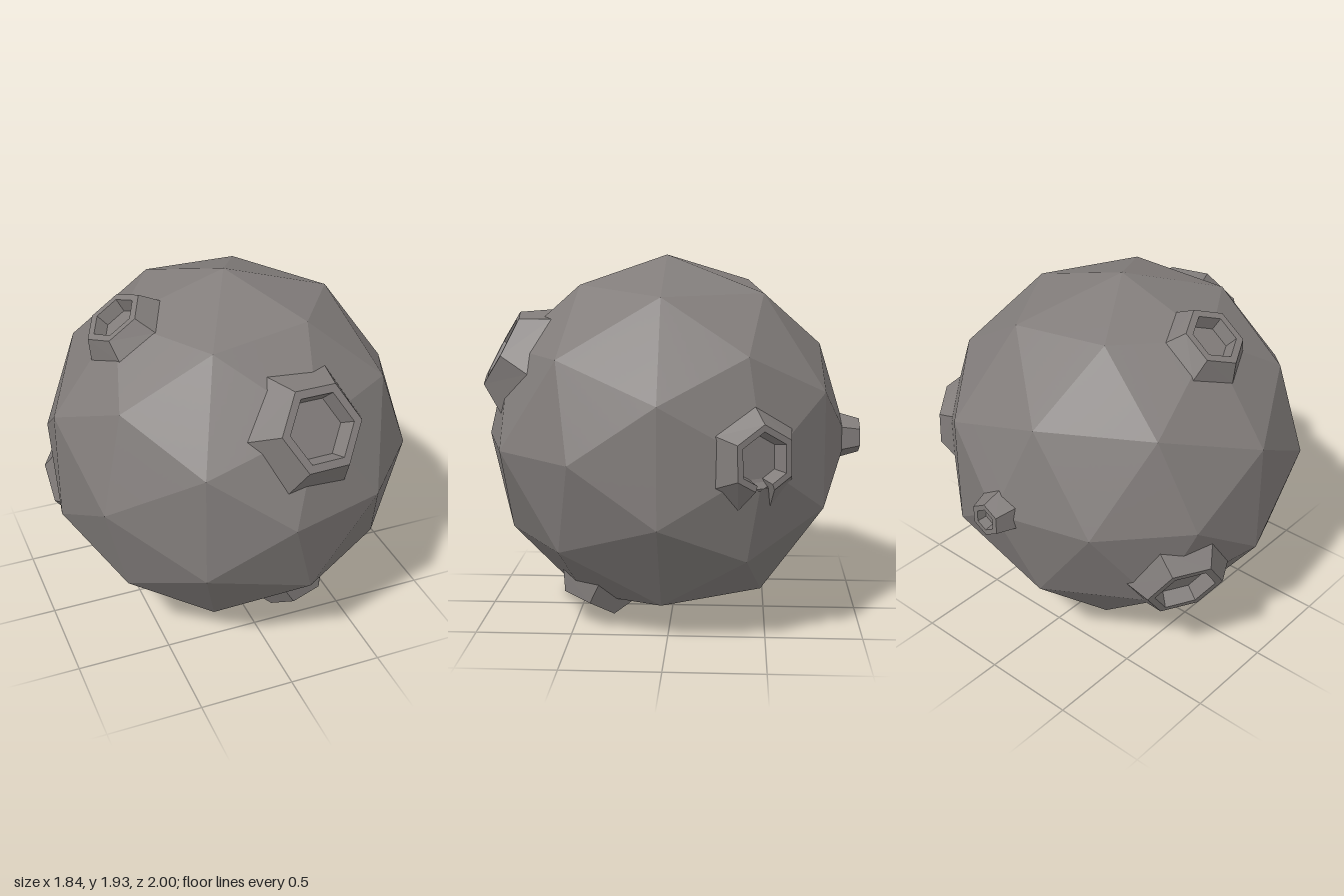
import * as THREE from 'three';

const RADIUS = 0.965;
const CENTRE = new THREE.Vector3(0, 0.97, 0.03);
const V = (x, y, z) => new THREE.Vector3(x, y, z);

// pos: rim centre from the body's centre, toward: direction of one rim corner,
// hole / rim / base: hexagon radii, depth: rim to floor, breach: gap opposite that corner
const CRATERS = [
  { name: 'frontCrater', pos: V(0.16, 0.485, 0.86), toward: V(1, 0, 0), hole: 0.18, rim: 0.225, base: 0.325, depth: 0.08 },
  { name: 'lowerCrater', pos: V(0.28, -0.86, 0.4), toward: V(1, 0, 0), hole: 0.12, rim: 0.165, base: 0.23, depth: 0.07 },
  { name: 'breachedCrater', pos: V(0.83, 0.03, -0.51), toward: V(0, 1, 0), hole: 0.14, rim: 0.175, base: 0.25, depth: 0.08, breach: true },
  { name: 'upperCrater', pos: V(-0.585, 0.805, 0.01), toward: V(1, 0, 0), hole: 0.125, rim: 0.165, base: 0.225, depth: 0.07 },
  { name: 'backCrater', pos: V(-0.01, 0.005, -1.03), toward: V(0, 1, 0), hole: 0.06, rim: 0.09, base: 0.12, depth: 0.05 },
  { name: 'sideCrater', pos: V(-0.8, -0.385, -0.43), toward: V(-0.42, 0, 0.78), hole: 0.165, rim: 0.205, base: 0.275, depth: 0.08 },
];

function meshFromPoints(points, material, name) {
  const geometry = new THREE.BufferGeometry().setFromPoints(points);
  geometry.computeVertexNormals();
  const mesh = new THREE.Mesh(geometry, material);
  mesh.name = name;
  return mesh;
}

// The 80 flat faces of the body, with a five-sided pole facing the front
function bodyFaces() {
  const geometry = new THREE.IcosahedronGeometry(RADIUS, 1);
  geometry.rotateX(Math.atan(2 / (1 + Math.sqrt(5))));
  geometry.rotateZ(Math.PI / 2);
  const p = geometry.attributes.position;
  const faces = [];
  for (let i = 0; i < p.count; i += 3) {
    const [a, b, c] = [0, 1, 2].map((k) => V().fromBufferAttribute(p, i + k));
    faces.push({ a, b, c, plane: new THREE.Plane().setFromCoplanarPoints(a, b, c) });
  }
  return faces;
}

// Each face is divided finely so the openings under the craters can be left out
function buildBody(faces, material) {
  const N = 20;
  const points = [];
  const covered = (p) => CRATERS.some(({ pos, hole }) => {
    const n = pos.clone().normalize();
    const h = p.dot(n);
    return h > 0 && p.clone().addScaledVector(n, -h).length() < hole + 0.012;
  });
  for (const { a, b, c } of faces) {
    const ab = b.clone().sub(a), ac = c.clone().sub(a);
    const at = (i, j) => a.clone().addScaledVector(ab, i / N).addScaledVector(ac, j / N);
    const add = (...tri) => {
      const mid = V().add(tri[0]).add(tri[1]).add(tri[2]).divideScalar(3);
      if (!covered(mid)) points.push(...tri);
    };
    for (let i = 0; i < N; i++) {
      for (let j = 0; j < N - i; j++) {
        add(at(i, j), at(i + 1, j), at(i, j + 1));
        if (i + j < N - 1) add(at(i + 1, j), at(i + 1, j + 1), at(i, j + 1));
      }
    }
  }
  return meshFromPoints(points, material, 'body');
}

function buildCrater(spec, faces, material) {
  const { name, pos, toward, hole, rim, base, depth, breach } = spec;
  const n = pos.clone().normalize();
  const u = toward.clone().projectOnPlane(n).normalize();
  const v = n.clone().cross(u);
  const top = pos.length(), floor = top - depth;

  // Height of the body's surface along the crater's axis
  const surface = (p) => Math.min(...faces.map(({ plane }) => {
    const d = plane.normal.dot(n);
    return d > 0.2 ? -plane.distanceToPoint(p) / d : Infinity;
  }));
  const point = (angle, r, h) => {
    const p = V().addScaledVector(u, r * Math.cos(angle)).addScaledVector(v, r * Math.sin(angle));
    return p.addScaledVector(n, h ?? surface(p));
  };

  // Cross-section from floor to foot at one angle
  const section = (degrees, low) => {
    const angle = THREE.MathUtils.degToRad(degrees);
    const fromEdgeMiddle = THREE.MathUtils.degToRad((degrees % 60) - 30);
    const k = Math.cos(Math.PI / 6) / Math.cos(fromEdgeMiddle);
    const foot = point(angle, k * base * (breach && Math.abs(degrees - 180) < 30 ? 1.2 : 1));
    const rimHeight = low ? surface(point(angle, k * rim, 0)) + 0.004 : top;
    return [
      point(angle, k * hole * 0.86, floor),
      point(angle, k * hole, low ? floor + 0.005 : top),
      point(angle, k * rim, rimHeight),
      foot,
    ];
  };

  const sections = [];
  for (let d = 0; d < 360; d += 60) {
    if (breach && d === 180) {
      sections.push(section(160), section(160, true), section(200, true), section(200));
    } else {
      sections.push(section(d));
    }
  }

  const points = [];
  const middle = n.clone().multiplyScalar(floor);
  sections.forEach((s, i) => {
    const t = sections[(i + 1) % sections.length];
    points.push(middle, s[0], t[0]);
    for (let k = 0; k < 3; k++) {
      points.push(s[k], s[k + 1], t[k + 1], s[k], t[k + 1], t[k]);
    }
  });
  return meshFromPoints(points, material, name);
}

export function createModel() {
  const rock = new THREE.MeshStandardMaterial({ color: 0x827d7b });
  rock.name = 'greyRock';
  rock.flatShading = true;

  const model = new THREE.Group();
  model.name = 'crateredMoon';
  const faces = bodyFaces();
  model.add(buildBody(faces, rock));
  for (const spec of CRATERS) model.add(buildCrater(spec, faces, rock));
  for (const part of model.children) part.position.copy(CENTRE);
  return model;
}
